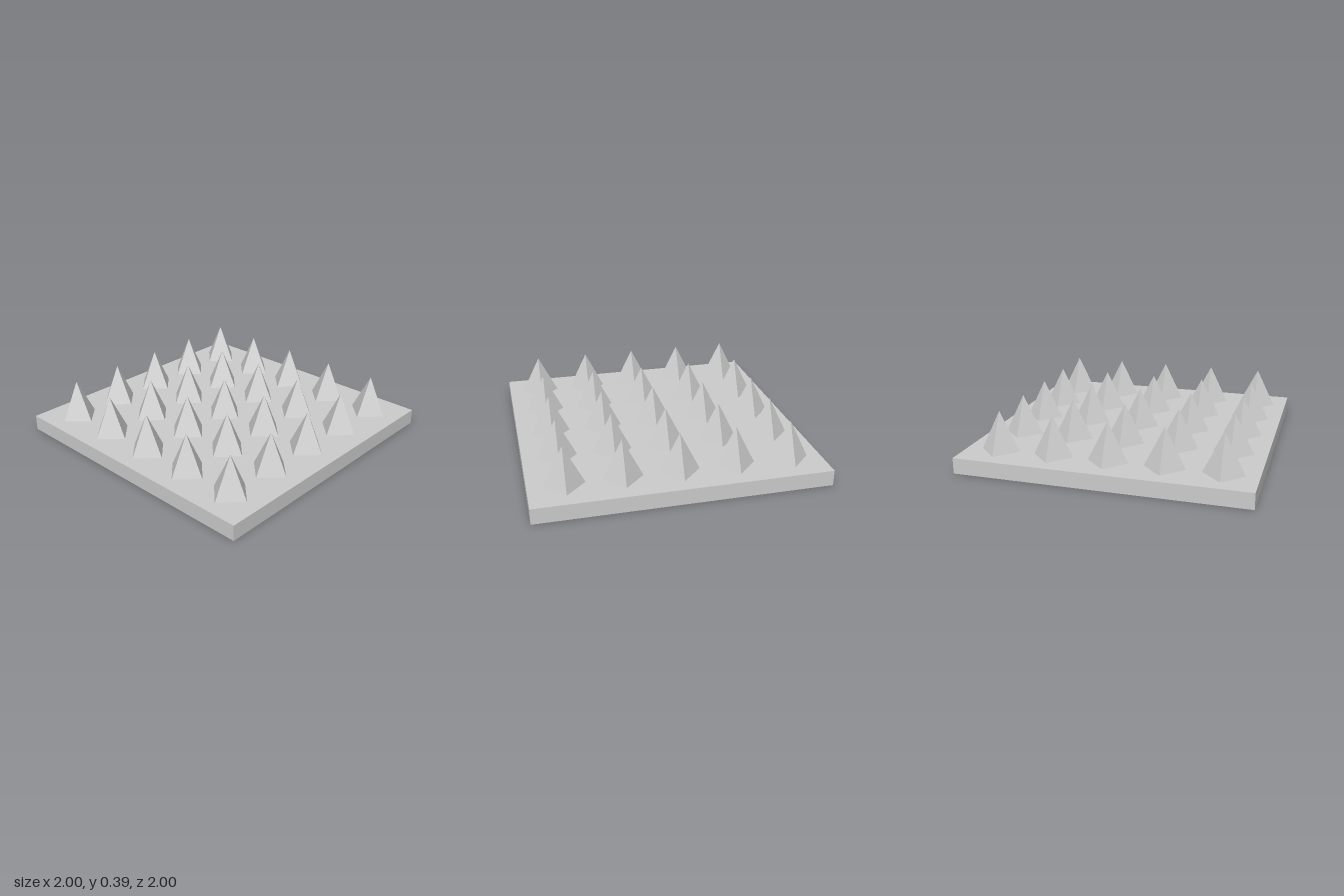
import * as THREE from 'three';

export function createModel() {
  const model = new THREE.Group();
  model.name = 'spikePlate';
  const material = new THREE.MeshStandardMaterial({ color: 0xcccccc, flatShading: true });

  // Square base slab
  const plateHeight = 0.11;
  const plate = new THREE.Mesh(new THREE.BoxGeometry(2, plateHeight, 2), material);
  plate.name = 'basePlate';
  plate.position.y = plateHeight / 2;
  model.add(plate);

  // Five by five grid of four-sided spikes, corners pointing along the axes
  const count = 5, spacing = 0.382, spikeHeight = 0.278;
  const spikeGeometry = new THREE.ConeGeometry(0.139, spikeHeight, 4);
  const spikes = new THREE.Group();
  spikes.name = 'spikes';
  spikes.position.set(-0.006, plateHeight + spikeHeight / 2, -0.004);
  for (let row = 0; row < count; row++) {
    for (let col = 0; col < count; col++) {
      const spike = new THREE.Mesh(spikeGeometry, material);
      spike.name = `spike${row + 1}_${col + 1}`;
      spike.position.set((col - 2) * spacing, 0, (row - 2) * spacing);
      spikes.add(spike);
    }
  }
  model.add(spikes);

  return model;
}
